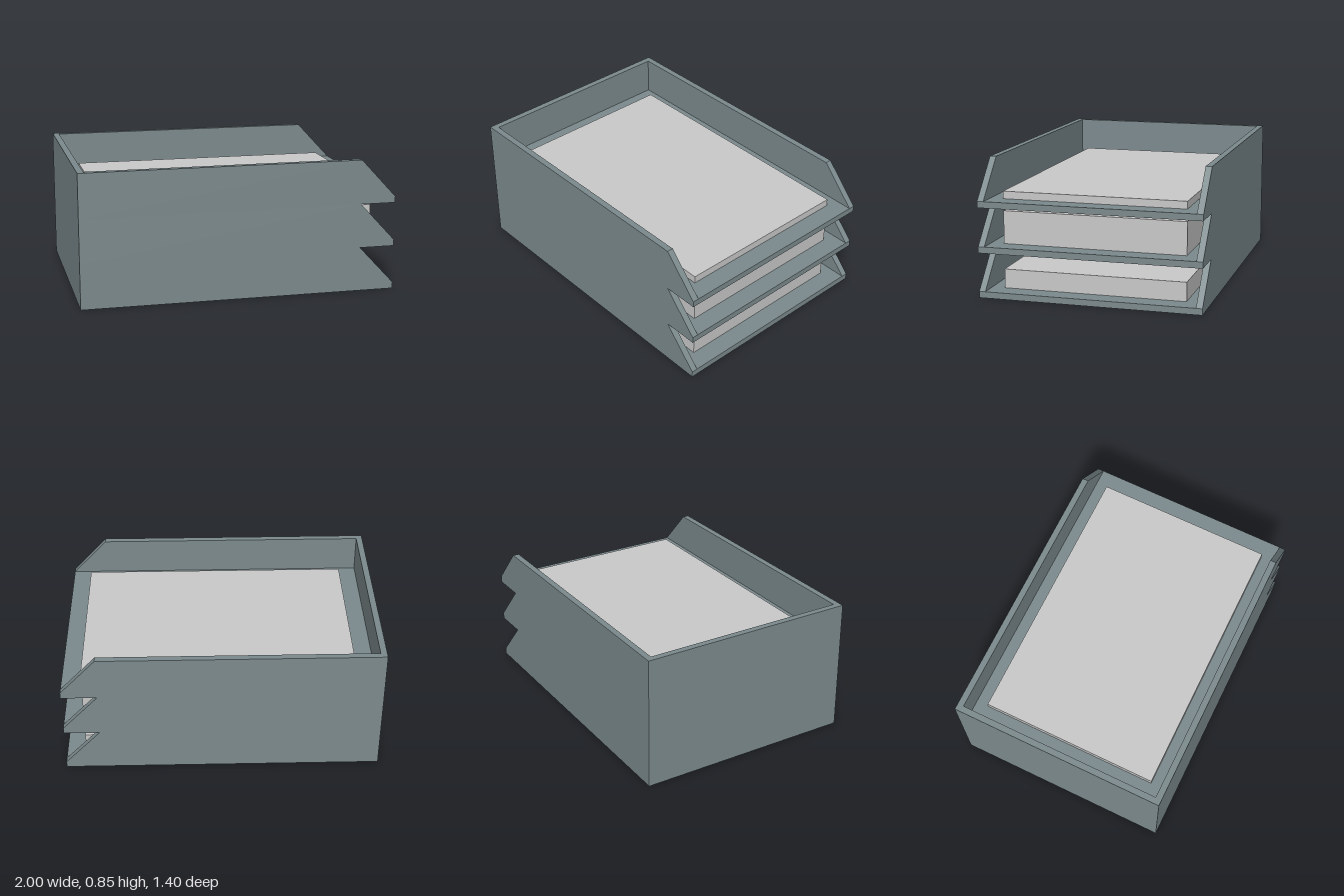
import * as THREE from 'three';

const TIERS = 3, PITCH = 0.2817, WALL = 0.04, HALF_Z = 0.7;
const PAPER_HEIGHTS = [0.12, 0.207, 0.047]; // stack height in each tray, bottom to top

export function createModel() {
  const model = new THREE.Group();
  model.name = 'letterTrayStack';
  const trayGrey = new THREE.MeshStandardMaterial({ color: 0x7c8a8d });
  trayGrey.name = 'trayGrey';
  const paperGrey = new THREE.MeshStandardMaterial({ color: 0xc9c9c9 });
  paperGrey.name = 'paperGrey';

  const add = (parent, name, geometry, material, x, y, z) => {
    const mesh = new THREE.Mesh(geometry, material);
    mesh.name = name;
    mesh.position.set(x, y, z);
    parent.add(mesh);
  };

  // Side wall outline with a sloping open end
  const outline = new THREE.Shape([
    [-1, 0], [1, 0], [1, WALL], [0.775, PITCH], [-1, PITCH],
  ].map(([x, y]) => new THREE.Vector2(x, y)));
  const sideGeo = new THREE.ExtrudeGeometry(outline, { depth: WALL, bevelEnabled: false });

  const innerZ = 2 * (HALF_Z - WALL);
  const floorGeo = new THREE.BoxGeometry(2 - WALL, WALL, innerZ);
  const endGeo = new THREE.BoxGeometry(WALL, PITCH, innerZ);

  for (let i = 0; i < TIERS; i++) {
    const tray = new THREE.Group();
    tray.name = 'tray' + (i + 1);
    tray.position.y = i * PITCH;
    model.add(tray);

    add(tray, 'frontSideWall', sideGeo, trayGrey, 0, 0, HALF_Z - WALL);
    add(tray, 'backSideWall', sideGeo, trayGrey, 0, 0, -HALF_Z);
    add(tray, 'floor', floorGeo, trayGrey, WALL / 2, WALL / 2, 0);
    add(tray, 'endWall', endGeo, trayGrey, -1 + WALL / 2, PITCH / 2, 0);

    // Paper pile resting on the floor
    const h = PAPER_HEIGHTS[i];
    add(tray, 'paperStack', new THREE.BoxGeometry(1.72, h, 1.155), paperGrey, 0.02, WALL + h / 2, 0);
  }
  return model;
}
